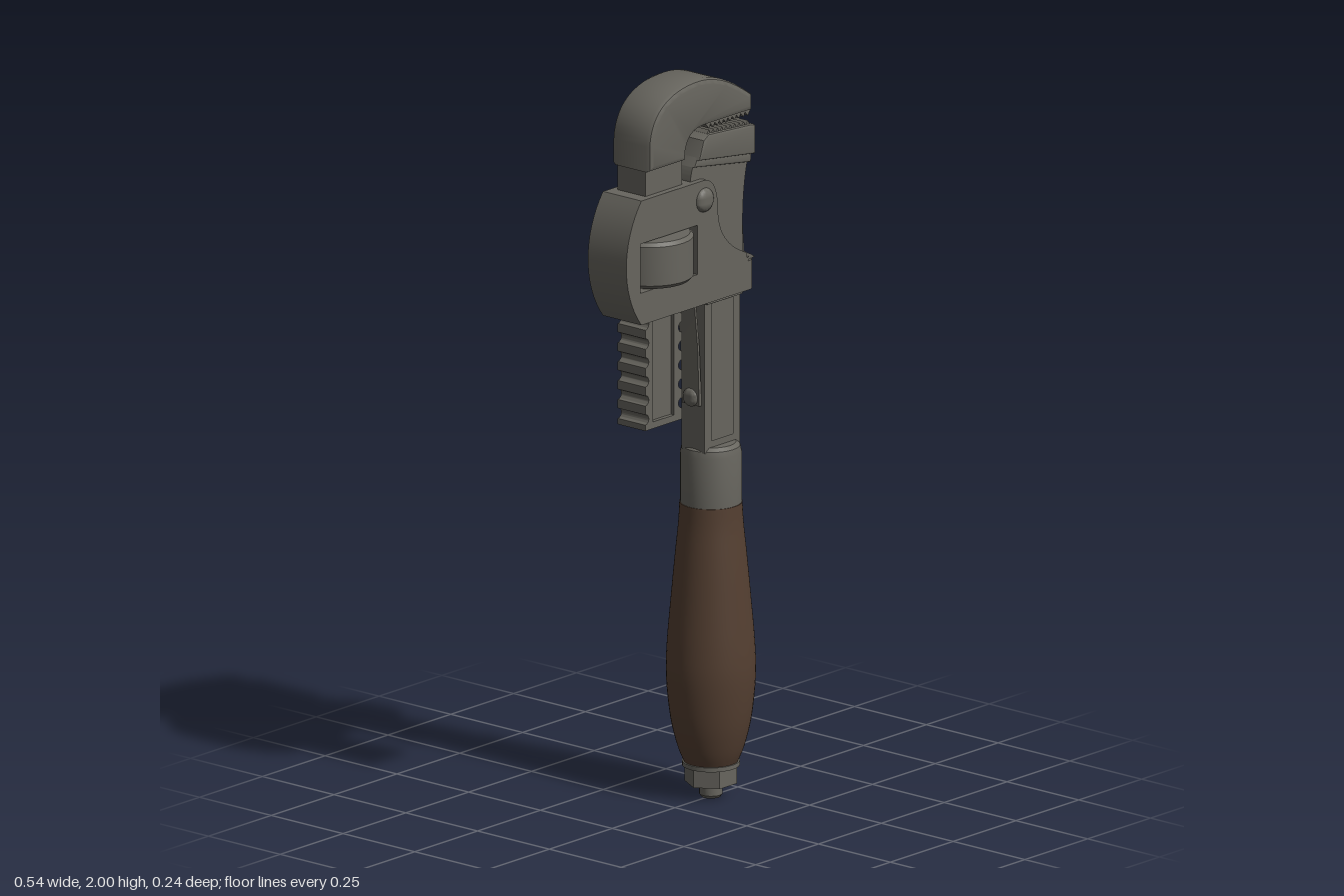
import * as THREE from 'three';
import { toCreasedNormals } from 'three/addons/utils/BufferGeometryUtils.js';

const material = (name, color) => {
  const m = new THREE.MeshStandardMaterial({ color });
  m.name = name;
  return m;
};

export function createModel() {
  const wrench = new THREE.Group();
  wrench.name = 'pipeWrench';
  const steel = material('darkSteel', 0x67655e);
  const wood = material('brownWood', 0x543f31);
  const rust = material('rustBrown', 0x6a4634);

  const add = (name, geometry, mat, x = 0, y = 0, z = 0) => {
    const mesh = new THREE.Mesh(toCreasedNormals(geometry, 0.5), mat);
    mesh.name = name;
    mesh.position.set(x, y, z);
    wrench.add(mesh);
    return mesh;
  };
  const poly = (pts) => new THREE.Shape(pts.map(([x, y]) => new THREE.Vector2(x, y)));
  const rectPath = (x0, y0, x1, y1) => poly([[x0, y0], [x0, y1], [x1, y1], [x1, y0]]);
  // Extrusion centred on z = 0, half depth h, optional bevel kept inside the outline
  const slab = (shape, h, bevel = 0) => new THREE.ExtrudeGeometry(shape, {
    depth: 2 * (h - bevel), curveSegments: 16, bevelEnabled: bevel > 0, bevelSegments: 2,
    bevelSize: bevel, bevelThickness: bevel, bevelOffset: -bevel,
  }).translate(0, 0, bevel - h);
  const lathe = (pts, sides = 48) =>
    new THREE.LatheGeometry(pts.map(([r, y]) => new THREE.Vector2(r, y)), sides);

  const AXIS = 0.143; // handle axis
  const RACK = -0.1; // hook jaw axis

  // Wooden grip with a smooth bulging profile
  const gripCurve = new THREE.SplineCurve([
    [0.07, 0.095], [0.088, 0.14], [0.107, 0.22], [0.118, 0.33], [0.116, 0.42],
    [0.106, 0.54], [0.095, 0.66], [0.086, 0.75], [0.083, 0.808],
  ].map(([r, y]) => new THREE.Vector2(r, y)));
  const gripPts = gripCurve.getPoints(32).map((p) => [p.x, p.y]);
  add('grip', lathe([[0, 0.095], ...gripPts, [0, 0.808]]), wood, AXIS);

  // Ferrule, end washer, hex nut and bolt end
  add('ferrule', lathe([[0, 0.805], [0.081, 0.805], [0.081, 0.945], [0.077, 0.963],
    [0.066, 0.972], [0, 0.972]]), steel, AXIS);
  add('endWasher', new THREE.CylinderGeometry(0.076, 0.076, 0.012, 40), steel, AXIS, 0.093);
  add('endNut', new THREE.CylinderGeometry(0.07, 0.07, 0.05, 6), steel, AXIS, 0.063)
    .rotation.y = Math.PI / 6;
  add('boltEnd', lathe([[0, 0], [0.025, 0], [0.031, 0.008], [0.031, 0.05]], 24), steel, AXIS);

  // Shank with a recessed panel on both faces
  const shank = rectPath(0.072, 0.96, 0.212, 1.4);
  shank.holes.push(rectPath(0.1, 0.99, 0.186, 1.365));
  add('shankFrame', slab(shank, 0.04), steel);
  add('shankWeb', new THREE.BoxGeometry(0.12, 0.42, 0.056), steel, AXIS, 1.18);

  // Neck rising through the housing to the lower jaw
  const neck = new THREE.Shape();
  neck.moveTo(0.072, 1.37);
  neck.lineTo(0.212, 1.37);
  neck.lineTo(0.212, 1.56);
  neck.quadraticCurveTo(0.212, 1.68, 0.24, 1.76);
  neck.lineTo(0.03, 1.79);
  neck.quadraticCurveTo(0.002, 1.75, 0.002, 1.7);
  neck.lineTo(0.03, 1.5);
  add('neck', slab(neck, 0.05), steel);

  // Lower jaw block with a tapered underside
  add('lowerJaw', slab(poly([[0.022, 1.778], [0.246, 1.748], [0.246, 1.828], [0.23, 1.832],
    [0.06, 1.843], [0.04, 1.83]]), 0.066, 0.006), steel);
  add('lowerJawTaper', slab(poly([[0.012, 1.76], [0.238, 1.725], [0.242, 1.755], [0.024, 1.785]]),
    0.058, 0.006), steel);

  // Hook jaw with a curved back
  const hook = new THREE.Shape();
  hook.moveTo(-0.176, 1.79);
  hook.lineTo(-0.176, 1.86);
  hook.bezierCurveTo(-0.17, 1.955, -0.09, 2.0, 0.02, 2.0);
  hook.bezierCurveTo(0.1, 2.0, 0.17, 1.96, 0.235, 1.915);
  hook.lineTo(0.235, 1.869);
  hook.lineTo(0.05, 1.869);
  hook.bezierCurveTo(0.0, 1.869, -0.03, 1.85, -0.03, 1.79);
  add('hookJaw', slab(hook, 0.067, 0.014), steel);

  // Saw teeth on both jaws
  const teeth = (base, dir, slope) => {
    const pts = [[0.058, base - dir * 0.012]];
    const n = 10;
    for (let i = 0; i < n; i++) {
      const x = 0.058 + i * 0.0172;
      const y = base + slope * (x - 0.058);
      pts.push([x, y], [x + 0.011, y + dir * 0.012]);
    }
    pts.push([0.232, base + slope * 0.174], [0.232, base + slope * 0.174 - dir * 0.012]);
    return slab(poly(pts), 0.058);
  };
  add('upperTeeth', teeth(1.868, -1, 0), steel);
  add('lowerTeeth', teeth(1.84, 1, -0.06), steel);

  // Threaded rack under the hook: notches on both edges, panel on both faces
  const rack = new THREE.Shape();
  const half = 0.073, notch = 0.014, pitch = 0.052, bottom = 1.08, top = 1.8;
  rack.moveTo(RACK - half, bottom);
  rack.lineTo(RACK + half, bottom);
  for (let i = 0; i < 9; i++) {
    rack.absarc(RACK + half, bottom + 0.045 + i * pitch, notch, -Math.PI / 2, Math.PI / 2, true);
  }
  rack.lineTo(RACK + half, top);
  rack.lineTo(RACK - half, top);
  for (let i = 8; i >= 0; i--) {
    rack.absarc(RACK - half, bottom + 0.03 + i * pitch, notch, Math.PI / 2, -Math.PI / 2, true);
  }
  rack.holes.push(rectPath(RACK - 0.042, 1.098, RACK + 0.042, 1.62));
  add('rackFrame', slab(rack, 0.048), steel);
  add('rackWeb', new THREE.BoxGeometry(0.1, 0.56, 0.072), steel, RACK, 1.37);

  // Housing with a window for the adjusting nut
  const housing = new THREE.Shape();
  housing.moveTo(-0.21, 1.382);
  housing.lineTo(0.21, 1.382);
  housing.lineTo(0.21, 1.486);
  housing.bezierCurveTo(0.15, 1.51, 0.1, 1.55, 0.095, 1.62);
  housing.bezierCurveTo(0.095, 1.69, 0.075, 1.722, 0.035, 1.722);
  housing.lineTo(-0.21, 1.722);
  housing.bezierCurveTo(-0.29, 1.62, -0.29, 1.48, -0.21, 1.382);
  housing.holes.push(rectPath(-0.213, 1.47, 0.013, 1.605));
  add('housing', slab(housing, 0.067), steel);
  add('windowRust', new THREE.BoxGeometry(0.004, 0.133, 0.128), rust, -0.2115, 1.5375);

  // Rounded collar around the shank, with a sloping shoulder
  const collar = (name, y0, height, reach) => {
    const s = new THREE.Shape();
    s.moveTo(0.17, -0.067);
    s.lineTo(reach - 0.04, -0.067);
    s.bezierCurveTo(reach + 0.013, -0.04, reach + 0.013, 0.04, reach - 0.04, 0.067);
    s.lineTo(0.17, 0.067);
    const g = new THREE.ExtrudeGeometry(s, { depth: height, bevelEnabled: false, curveSegments: 16 });
    add(name, g.rotateX(-Math.PI / 2), steel, 0, y0);
  };
  collar('collar', 1.382, 0.08, 0.266);
  collar('collarLip', 1.46, 0.012, 0.254);
  add('collarShoulder', slab(poly([[0.2, 1.46], [0.248, 1.465], [0.232, 1.476], [0.2, 1.49]]), 0.06), steel);

  // Adjusting nut
  add('adjustingNut', lathe([[0, 1.475], [0.106, 1.475], [0.115, 1.485], [0.115, 1.591],
    [0.106, 1.601], [0, 1.601]], 56), steel, RACK);

  // Domed pivot pins on both faces
  for (const side of [1, -1]) {
    add('pivotPin', new THREE.SphereGeometry(0.033, 24, 14).scale(1, 1, 0.5), steel, 0.041, 1.668, side * 0.066);
  }

  // Leaf springs on both edges of the shank, each with its screw
  add('innerSpring', slab(poly([[0.04, 1.4], [0.056, 1.25], [0.062, 1.09], [0.072, 1.09],
    [0.063, 1.25], [0.047, 1.4]]), 0.03), steel);
  add('outerSpring', slab(poly([[0.222, 1.7], [0.228, 1.7], [0.225, 1.62], [0.238, 1.46],
    [0.231, 1.46], [0.218, 1.62]]), 0.034), steel);
  for (const [x, y] of [[0.062, 1.11], [0.225, 1.665]]) {
    add('springScrew', new THREE.SphereGeometry(0.025, 20, 12).scale(0.5, 1, 1), steel, x, y);
  }

  return wrench;
}
